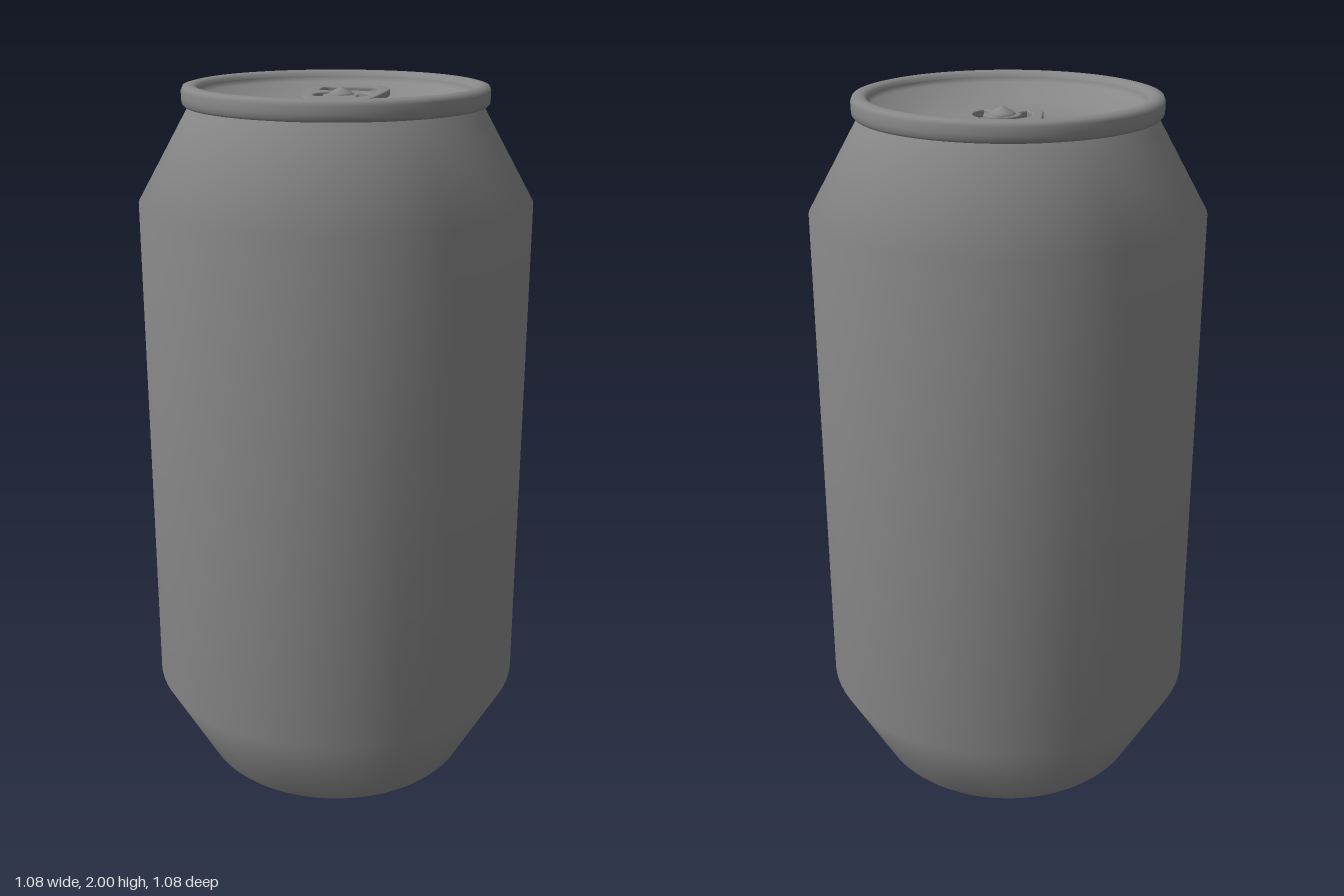
import * as THREE from 'three';

const SEGMENTS = 96;
const material = new THREE.MeshStandardMaterial({ color: 0x888888 });

function add(group, name, geometry) {
  const mesh = new THREE.Mesh(geometry, material);
  mesh.name = name;
  group.add(mesh);
  return mesh;
}

// Profiles run counter-clockwise (outward, up, then inward), so faces point out.
function lathe(points, segments = SEGMENTS) {
  return new THREE.LatheGeometry(points.map(([x, y]) => new THREE.Vector2(x, y)), segments);
}

// Rounded rectangle path used for the finger hole
function roundedHole(x, y0, y1, r) {
  const p = new THREE.Path();
  p.moveTo(-x + r, y0);
  p.lineTo(x - r, y0);
  p.quadraticCurveTo(x, y0, x, y0 + r);
  p.lineTo(x, y1 - r);
  p.quadraticCurveTo(x, y1, x - r, y1);
  p.lineTo(-x + r, y1);
  p.quadraticCurveTo(-x, y1, -x, y1 - r);
  p.lineTo(-x, y0 + r);
  p.quadraticCurveTo(-x, y0, -x + r, y0);
  return p;
}

// Pull tab, drawn with shape +y towards the back
function tabGeometry() {
  const s = new THREE.Shape();
  s.moveTo(-0.045, -0.02);
  s.lineTo(0.045, -0.02);
  s.quadraticCurveTo(0.085, -0.015, 0.097, 0.045);
  s.lineTo(0.114, 0.23);
  s.bezierCurveTo(0.115, 0.29, 0.1, 0.34, 0.05, 0.341);
  s.lineTo(-0.05, 0.341);
  s.bezierCurveTo(-0.1, 0.34, -0.115, 0.29, -0.114, 0.23);
  s.lineTo(-0.097, 0.045);
  s.quadraticCurveTo(-0.085, -0.015, -0.045, -0.02);

  // C-shaped slot that frees the rivet tongue
  const slot = new THREE.Path();
  const start = -Math.PI / 4, end = Math.PI * 1.25;
  slot.absarc(0, 0.092, 0.081, start, end, false);
  slot.absarc(0, 0.092, 0.046, end, start, true);
  slot.closePath();
  s.holes.push(roundedHole(0.084, 0.191, 0.302, 0.034), slot);

  const geometry = new THREE.ExtrudeGeometry(s, {
    depth: 0.012, bevelEnabled: true, bevelThickness: 0.004,
    bevelSize: 0.004, bevelSegments: 2, curveSegments: 20,
  });
  return geometry.rotateX(-Math.PI / 2);
}

export function createModel() {
  const can = new THREE.Group();
  can.name = 'drinkCan';

  // Side wall with tapered foot and shoulder
  add(can, 'body', lathe([
    [0.385, 0], [0.397, 0.012], [0.54, 0.27], [0.54, 1.69], [0.393, 1.95],
  ]));

  // Standing ring and shallow conical underside
  add(can, 'baseRing', lathe([[0.364, 0.008], [0.372, 0], [0.385, 0]]));
  add(can, 'baseRecess', lathe([[0, 0.085], [0.364, 0.008]]));

  // Rolled rim
  add(can, 'rim', lathe([
    [0.385, 1.947], [0.408, 1.945], [0.414, 1.952], [0.415, 1.965], [0.415, 1.985],
    [0.41, 1.996], [0.394, 2], [0.38, 1.998], [0.372, 1.992], [0.368, 1.984],
  ]));

  // Dished lid with a small raised boss in the middle
  add(can, 'lid', lathe([
    [0.368, 1.984], [0.364, 1.97], [0.28, 1.934], [0.2, 1.916],
    [0.07, 1.92], [0.045, 1.94], [0, 1.942],
  ]));

  // Opening tab
  const tab = add(can, 'pullTab', tabGeometry());
  tab.position.y = 1.944;

  // Rivet holding the tab
  const rivet = add(can, 'rivet', lathe([
    [0.037, 1.9], [0.037, 1.958], [0.03, 1.966], [0, 1.982],
  ], 32));
  rivet.position.z = -0.096;
  rivet.scale.z = 1.25;

  return can;
}
